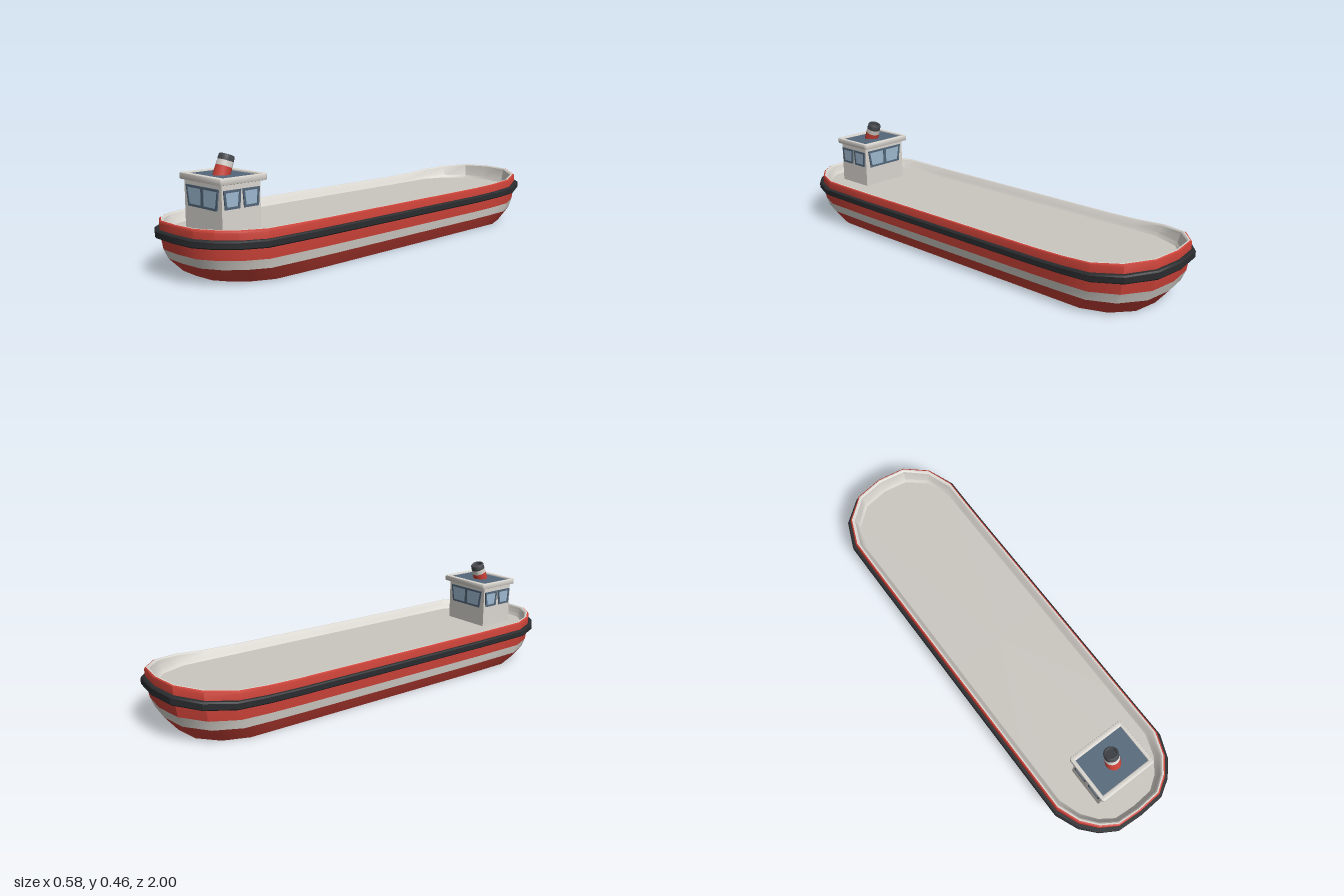
import * as THREE from 'three';
import { toCreasedNormals } from 'three/addons/utils/BufferGeometryUtils.js';

const mat = (color) => new THREE.MeshStandardMaterial({ color });
const RED = mat(0xcb4238), CREAM = mat(0xdad6d0), DECK = mat(0xcbc7c1), BLACK = mat(0x2b2c2f);
const SLATE = mat(0x53677a), GLASS = mat(0x9db8cf), SOOT = mat(0x45484d);

// Half of the hull plan [x, z], stern to bow, mirrored into a closed loop
const HALF = [[0, 0.985], [0.11, 0.978], [0.18, 0.935], [0.236, 0.87], [0.276, 0.77], [0.276, 0.5], [0.276, 0],
  [0.276, -0.5], [0.276, -0.64], [0.276, -0.77], [0.228, -0.885], [0.13, -0.962], [0, -0.98]];
const PLAN = [...HALF, ...HALF.slice(1, -1).reverse().map(([x, z]) => [-x, z])];

// Rise of the hull lines towards both ends
function sheer(y, z) {
  const t = Math.min(1, Math.max(0, (Math.abs(z) - 0.5) / 0.48));
  return t * t * (z < 0 ? 0.036 * Math.min(1, y / 0.18) : 0.009);
}

// Surface through rings of the plan; profile rows are [offset in x, offset in z, y, flat]
function loft(profile, cap) {
  const pos = [], idx = [], n = PLAN.length;
  for (const [ox, oz, y, flat] of profile)
    for (const [x, z] of PLAN)
      pos.push(x * (1 + ox / 0.276), y + (flat ? 0 : sheer(y, z)), z * (1 + oz / 0.98));
  for (let r = 0; r < profile.length - 1; r++)
    for (let i = 0; i < n; i++) {
      const j = (i + 1) % n, a = r * n, b = a + n;
      idx.push(a + i, a + j, b + j, a + i, b + j, b + i);
    }
  if (cap) {
    const base = cap === 'top' ? (profile.length - 1) * n : 0;
    const c = pos.length / 3;
    pos.push(0, profile[cap === 'top' ? profile.length - 1 : 0][2], 0);
    for (let i = 0; i < n; i++) {
      const j = (i + 1) % n;
      idx.push(c, base + (cap === 'top' ? i : j), base + (cap === 'top' ? j : i));
    }
  }
  const g = new THREE.BufferGeometry();
  g.setAttribute('position', new THREE.Float32BufferAttribute(pos, 3));
  g.setIndex(idx);
  return toCreasedNormals(g, 0.5);
}

function add(parent, name, geometry, material, x = 0, y = 0, z = 0) {
  const m = new THREE.Mesh(geometry, material);
  m.name = name;
  m.position.set(x, y, z);
  parent.add(m);
  return m;
}

function polygon(points, Type = THREE.Shape) {
  return new Type(points.map(([x, y]) => new THREE.Vector2(x, y)));
}

// Tapered window frame facing +z, with one or two panes
function makeWindow(name, top, bottom, h, panes) {
  const g = new THREE.Group(), b = 0.009;
  g.name = name;
  const frame = polygon([[-bottom, -h], [bottom, -h], [top, h], [-top, h]]);
  const inT = top - b, inB = bottom - b, y = h - b;
  const holes = panes === 1
    ? [[[-inB, -y], [inB, -y], [inT, y], [-inT, y]]]
    : [-1, 1].map((s) => [[s * 0.008, -y], [s * inB, -y], [s * inT, y], [s * 0.008, y]]);
  for (const p of holes) {
    frame.holes.push(polygon(p, THREE.Path));
    add(g, 'pane', new THREE.ShapeGeometry(polygon(p)), GLASS, 0, 0, 0.002);
  }
  add(g, 'windowFrame', new THREE.ExtrudeGeometry(frame, { depth: 0.005, bevelEnabled: false }), SLATE);
  return g;
}

function roundedRect(w, d, r, Type = THREE.Shape) {
  const s = new Type();
  s.absarc(w - r, d - r, r, 0, Math.PI / 2);
  s.absarc(r - w, d - r, r, Math.PI / 2, Math.PI);
  s.absarc(r - w, r - d, r, Math.PI, Math.PI * 1.5);
  s.absarc(w - r, r - d, r, Math.PI * 1.5, Math.PI * 2);
  s.closePath();
  return s;
}

function makeHull() {
  const g = new THREE.Group();
  g.name = 'hull';
  add(g, 'lowerHull', loft([[-0.046, -0.09, 0], [-0.042, -0.083, 0.006], [-0.012, -0.032, 0.058]], 'bottom'), RED);
  add(g, 'stripe', loft([[-0.012, -0.032, 0.058], [-0.004, -0.014, 0.096]]), CREAM);
  add(g, 'upperHull', loft([[-0.004, -0.014, 0.096], [0, -0.004, 0.15], [0, 0, 0.2], [-0.002, -0.002, 0.206],
    [-0.007, -0.007, 0.209]]), RED);
  add(g, 'bulwark', loft([[-0.007, -0.007, 0.209], [-0.013, -0.013, 0.209], [-0.018, -0.018, 0.204],
    [-0.027, -0.026, 0.185, true], [-0.036, -0.034, 0.172, true]]), CREAM);
  add(g, 'deck', loft([[-0.036, -0.034, 0.172, true]], 'top'), DECK);
  // Rubber fender around the hull
  add(g, 'fender', loft([[-0.004, -0.004, 0.142], [0.01, 0.01, 0.142], [0.015, 0.015, 0.147],
    [0.015, 0.015, 0.168], [0.01, 0.01, 0.173], [-0.004, -0.004, 0.173]]), BLACK);
  return g;
}

function makeCabin() {
  const g = new THREE.Group();
  g.name = 'cabin';
  g.position.set(0, 0, 0.765);
  add(g, 'cabinWalls', new THREE.BoxGeometry(0.236, 0.2, 0.18), CREAM, 0, 0.268, 0);

  // Wide windows fore and aft, a pair on each side
  for (const s of [1, -1]) {
    const wide = makeWindow(s > 0 ? 'frontWindow' : 'backWindow', 0.103, 0.091, 0.041, 2);
    wide.position.set(0, 0.303, s * 0.09);
    wide.rotation.y = s > 0 ? 0 : Math.PI;
    g.add(wide);
    for (const k of [1, -1]) {
      const side = makeWindow(s > 0 ? 'leftWindow' : 'rightWindow', 0.04, 0.034, 0.036, 1);
      side.position.set(s * 0.118, 0.304, k * 0.044);
      side.rotation.y = s * Math.PI / 2;
      g.add(side);
    }
  }

  // Roof slab with a raised rim around a sunken panel
  const rim = roundedRect(0.131, 0.106, 0.008);
  rim.holes.push(roundedRect(0.123, 0.092, 0.004, THREE.Path));
  const rimGeo = new THREE.ExtrudeGeometry(rim, { depth: 0.018, bevelSize: 0.004, bevelThickness: 0.004,
    bevelSegments: 2, curveSegments: 4 });
  rimGeo.rotateX(-Math.PI / 2);
  add(g, 'roofRim', toCreasedNormals(rimGeo, 0.7), CREAM, 0, 0.366, -0.005);
  add(g, 'roofSlab', new THREE.BoxGeometry(0.25, 0.014, 0.19), CREAM, 0, 0.37, -0.005);
  add(g, 'roofPanel', new THREE.BoxGeometry(0.25, 0.004, 0.19), SLATE, 0, 0.379, -0.005);
  return g;
}

// Raked funnel with three painted bands and a hollow top
function makeFunnel() {
  const g = new THREE.Group();
  g.name = 'funnel';
  g.position.set(0, 0.376, 0.768);
  g.rotation.x = -0.36;
  const band = (name, pts, material) => add(g, name,
    toCreasedNormals(new THREE.LatheGeometry(pts.map(([r, y]) => new THREE.Vector2(r, y)), 20), 0.7), material);
  band('funnelBase', [[0.034, -0.012], [0.0325, 0.038]], RED);
  band('funnelBand', [[0.0325, 0.038], [0.0318, 0.06]], CREAM);
  band('funnelTop', [[0.0318, 0.06], [0.031, 0.08], [0.028, 0.084], [0.024, 0.084], [0.022, 0.081],
    [0.022, 0.07], [0, 0.07]], SOOT);
  return g;
}

export function createModel() {
  const model = new THREE.Group();
  model.name = 'cargoBoat';
  model.add(makeHull(), makeCabin(), makeFunnel());
  return model;
}
